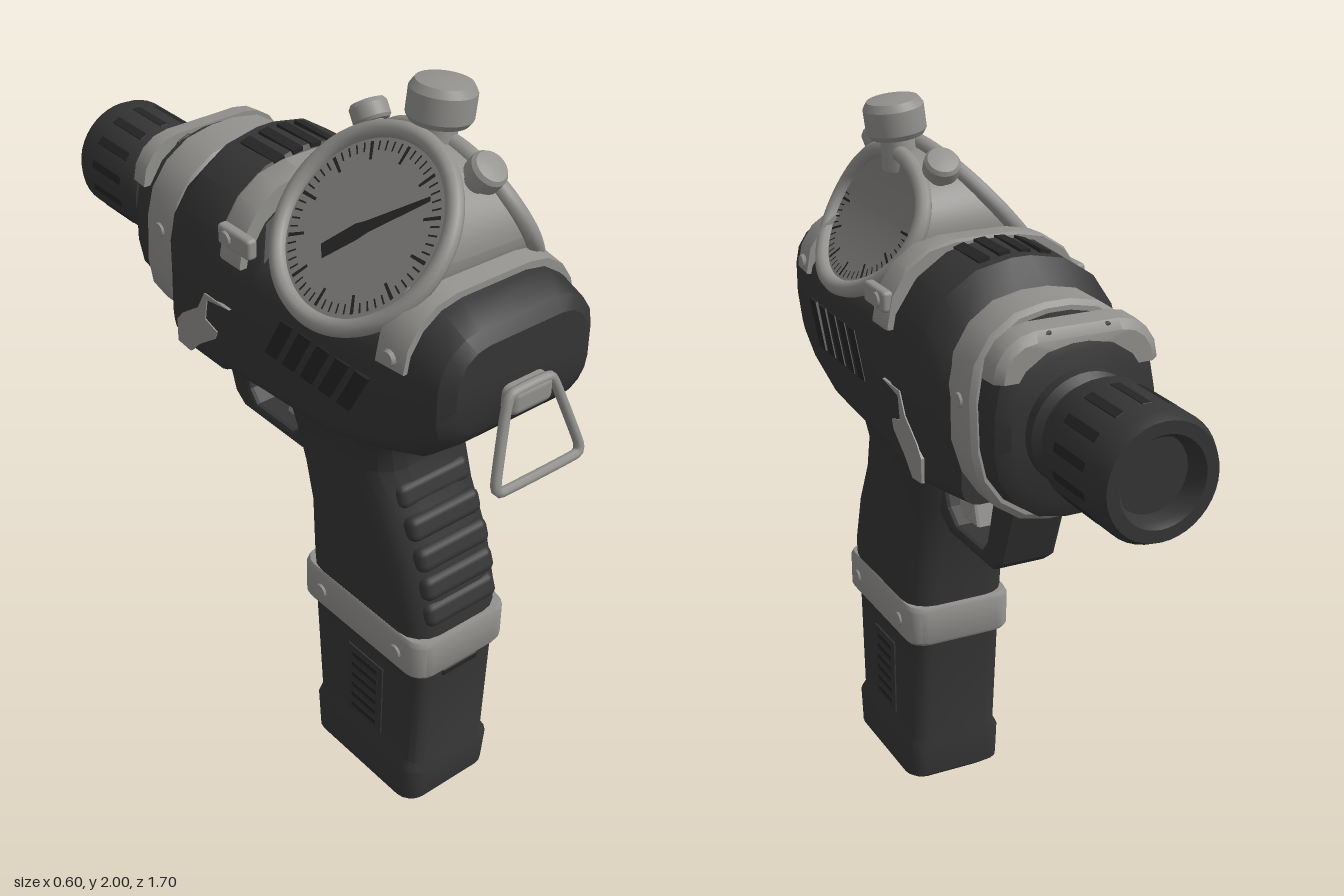
import * as THREE from 'three';
import { toCreasedNormals } from 'three/addons/utils/BufferGeometryUtils.js';
import { RoundedBoxGeometry } from 'three/addons/geometries/RoundedBoxGeometry.js';

const mat = (name, color, side = THREE.FrontSide) => {
  const m = new THREE.MeshStandardMaterial({ color, side });
  m.name = name;
  return m;
};

// Rounded rectangle outline, x in [-hw, hw], second axis in [a0, a1]
function ring(hw, a0, a1, rt, rb) {
  const lim = Math.min(hw, (a1 - a0) * 0.98 - Math.min(rt, rb)), pts = [];
  [[1, 1, rt], [-1, 1, rt], [-1, -1, rb], [1, -1, rb]].forEach(([sx, sy, r], k) => {
    r = Math.min(r, lim);
    for (let i = 0; i <= 4; i++) {
      const a = (k + i / 4) * Math.PI / 2;
      pts.push([sx * (hw - r) + r * Math.cos(a), (sy > 0 ? a1 - r : a0 + r) + r * Math.sin(a)]);
    }
  });
  return pts;
}

// Skin over sections [t, halfWidth, a0, a1, topRadius, bottomRadius]; t runs along z or y
function loft(sections, axis = 'z') {
  const pos = [], idx = [], n = 20, up = axis === 'y';
  const put = (x, a, t) => (up ? pos.push(x, t, a) : pos.push(x, a, t));
  const tri = (a, b, c) => (up ? idx.push(a, c, b) : idx.push(a, b, c));
  for (const [t, hw, a0, a1, rt, rb = rt] of sections) ring(hw, a0, a1, rt, rb).forEach(([x, a]) => put(x, a, t));
  const last = sections.length - 1;
  [0, last].forEach((s) => put(0, (sections[s][2] + sections[s][3]) / 2, sections[s][0]));
  const c0 = n * (last + 1);
  for (let i = 0; i < n; i++) {
    const k = (i + 1) % n;
    for (let j = 0; j < last; j++) {
      const a = j * n + i, b = j * n + k;
      tri(a, b, b + n);
      tri(a, b + n, a + n);
    }
    tri(c0, k, i);
    tri(c0 + 1, last * n + i, last * n + k);
  }
  const g = new THREE.BufferGeometry();
  g.setAttribute('position', new THREE.Float32BufferAttribute(pos, 3));
  g.setIndex(idx);
  return toCreasedNormals(g, 0.6);
}

// Side outline of [z, y] points extruded across x
function sidePlate(pts, width, x = 0, hole = null, bevel = 0) {
  const V = (p) => p.map(([z, y]) => new THREE.Vector2(z, y));
  const s = new THREE.Shape(V(pts));
  if (hole) s.holes.push(new THREE.Path(V(hole)));
  const g = new THREE.ExtrudeGeometry(s, { depth: width, bevelEnabled: bevel > 0, bevelSize: bevel, bevelThickness: bevel, bevelOffset: -bevel, bevelSegments: 2 });
  return g.translate(0, 0, -width / 2).rotateY(-Math.PI / 2).translate(x, 0, 0);
}

// Dial surfaces: unit disc (u, v) mapped to a flat right-hand face and a hollow left-hand face
const flatFace = (u, v, o = 0) => new THREE.Vector3(-0.135 + 0.155 * v - 0.77 * o, 1.69 + 0.18 * v + 0.63 * o, 0.365 + 0.245 * u);
const hollowFace = (u, v, o = 0) => {
  const y = 1.685 + 0.168 * v;
  return new THREE.Vector3(0.085 + 0.195 * Math.pow(Math.max(0, (1.865 - y) / 0.36), 1.7) + 0.8 * o, y + 0.5 * o, 0.365 - 0.25 * u);
};
function mapped(g, fn) {
  const p = g.attributes.position;
  for (let i = 0; i < p.count; i++) {
    const v = fn(p.getX(i), p.getY(i));
    p.setXYZ(i, v.x, v.y, v.z);
  }
  g.computeVertexNormals();
  return g;
}

export function createModel() {
  const root = new THREE.Group();
  const dark = mat('dark casing', 0x353535);
  const black = mat('recess black', 0x252525, THREE.DoubleSide);
  const light = mat('grey metal', 0x92918e, THREE.DoubleSide);
  const face = mat('dial grey', 0x807f7d, THREE.DoubleSide);
  const add = (name, g, m, parent = root) => {
    const mesh = new THREE.Mesh(g, m);
    mesh.name = name;
    parent.add(mesh);
    return mesh;
  };
  const box = (name, w, h, d, x, y, z, m, r = 0.01) => {
    const mesh = add(name, r ? new RoundedBoxGeometry(w, h, d, 2, r) : new THREE.BoxGeometry(w, h, d), m);
    mesh.position.set(x, y, z);
    return mesh;
  };

  // Main body, lower in the middle to seat the dials
  add('body', loft([
    [-0.3, 0.22, 1.13, 1.58, 0.18, 0.05], [-0.25, 0.25, 1.14, 1.62, 0.2, 0.05],
    [-0.18, 0.275, 1.15, 1.7, 0.25, 0.04], [-0.02, 0.275, 1.15, 1.705, 0.25, 0.04],
    [0.0, 0.27, 1.16, 1.68, 0.23, 0.04], [0.09, 0.27, 1.165, 1.67, 0.23, 0.04],
    [0.13, 0.27, 1.17, 1.555, 0.1, 0.04], [0.4, 0.268, 1.18, 1.55, 0.1, 0.05],
    [0.56, 0.262, 1.22, 1.56, 0.1, 0.06], [0.59, 0.258, 1.23, 1.645, 0.18, 0.06],
    [0.67, 0.25, 1.25, 1.625, 0.15, 0.08], [0.74, 0.235, 1.31, 1.595, 0.12, 0.08],
    [0.765, 0.2, 1.35, 1.565, 0.09, 0.08]]), dark);

  // Grip, band and battery
  add('grip', loft([
    [0.55, 0.145, 0.17, 0.625, 0.07], [0.66, 0.153, 0.165, 0.625, 0.08], [0.81, 0.153, 0.15, 0.59, 0.09],
    [0.94, 0.158, 0.115, 0.525, 0.1], [1.05, 0.17, 0.09, 0.475, 0.1], [1.14, 0.185, 0.08, 0.485, 0.09],
    [1.22, 0.215, 0.06, 0.54, 0.08], [1.28, 0.24, 0.04, 0.58, 0.08]], 'y'), dark);
  for (let i = 0; i < 5; i++) {
    const rib = box('gripRib', 0.23, 0.068, 0.06, 0, 0.68 + i * 0.075, 0.6 - i * 0.008 - i * i * 0.0055, dark, 0.022);
    rib.rotation.x = -0.35;
  }
  add('gripBand', loft([[0.495, 0.15, 0.16, 0.635, 0.05], [0.505, 0.156, 0.155, 0.64, 0.05],
    [0.6, 0.156, 0.155, 0.64, 0.05], [0.612, 0.15, 0.16, 0.635, 0.05]], 'y'), light);
  add('battery', loft([
    [0, 0.115, 0.25, 0.57, 0.04], [0.035, 0.145, 0.205, 0.615, 0.05], [0.14, 0.145, 0.195, 0.625, 0.05],
    [0.165, 0.132, 0.2, 0.615, 0.045], [0.5, 0.132, 0.17, 0.627, 0.045]], 'y'), dark);
  box('batteryLatch', 0.12, 0.02, 0.02, 0, 0.475, 0.62, black, 0.005);

  // Trigger guard and trigger
  add('triggerGuard', sidePlate(
    [[0.2, 1.22], [-0.27, 1.22], [-0.3, 1.12], [-0.225, 0.91], [-0.185, 0.88], [0.07, 0.88], [0.13, 0.91], [0.2, 1.0]], 0.14, 0,
    [[0.08, 1.15], [-0.13, 1.145], [-0.17, 1.13], [-0.19, 1.08], [-0.155, 0.95], [-0.125, 0.915], [0.03, 0.915], [0.08, 0.95], [0.1, 1.0], [0.105, 1.07]], 0.012), dark);
  add('trigger', sidePlate(
    [[0.085, 1.17], [-0.035, 1.17], [-0.03, 1.08], [-0.015, 1.0], [-0.035, 0.93], [0.05, 0.925], [0.075, 0.96], [0.07, 1.05]], 0.08, 0, null, 0.01), light);

  // Front collar (leaning slightly) and nose
  const collar = loft([[-0.392, 0.222, 1.12, 1.63, 0.19], [-0.38, 0.235, 1.105, 1.642, 0.2],
    [-0.27, 0.235, 1.105, 1.642, 0.2], [-0.258, 0.222, 1.12, 1.63, 0.19]]);
  const shear = new THREE.Matrix4().set(1, 0, 0, 0, 0, 1, 0, 0, 0, 0.07, 1, -0.096, 0, 0, 0, 1);
  add('collar', collar.applyMatrix4(shear), light);
  add('nose', loft([[-0.485, 0.18, 1.18, 1.56, 0.16], [-0.462, 0.213, 1.135, 1.61, 0.19], [-0.36, 0.22, 1.125, 1.62, 0.19]]), dark);
  add('noseWear', loft([[-0.478, 0.196, 1.5, 1.589, 0.171, 0.002], [-0.462, 0.216, 1.5, 1.613, 0.19, 0.002], [-0.41, 0.22, 1.5, 1.62, 0.19, 0.002]]), light);
  for (const s of [-1, 1]) {
    const notch = box('noseNotch', 0.05, 0.05, 0.066, s * 0.085, 1.582, -0.437, dark);
    notch.rotation.z = -s * 0.35;
  }

  // Barrel with slotted sleeve
  const profile = [[0.145, 0.42], [0.145, 0.515], [0.125, 0.53], [0.125, 0.565], [0.148, 0.57], [0.157, 0.59],
    [0.157, 0.825], [0.143, 0.853], [0.112, 0.853], [0.1, 0.835], [0.095, 0.8], [0, 0.8]];
  const lathe = new THREE.LatheGeometry(profile.map(([r, d]) => new THREE.Vector2(r, d)), 40);
  add('barrel', toCreasedNormals(lathe.rotateX(-Math.PI / 2), 0.5).translate(0, 1.37, 0), dark);
  for (let i = 0; i < 14; i++) {
    const a = (i + 0.5) / 14 * Math.PI * 2;
    const slot = box('sleeveSlot', 0.009, 0.026, 0.14, 0.1535 * Math.cos(a), 1.37 + 0.1535 * Math.sin(a), -0.705, black, 0.003);
    slot.rotation.z = a;
  }

  // Straps that hold the dial housing
  add('frontStrap', loft([[0.0, 0.275, 1.5, 1.7, 0.19, 0.002], [0.01, 0.279, 1.5, 1.706, 0.195, 0.002], [0.085, 0.279, 1.5, 1.7, 0.19, 0.002]]), light);
  add('rearStrap', loft([[0.57, 0.268, 1.49, 1.665, 0.17, 0.002], [0.655, 0.26, 1.49, 1.645, 0.15, 0.002]]), light);

  // Mirrored side details
  for (const s of [-1, 1]) {
    box('strapClip', 0.03, 0.055, 0.125, s * 0.27, 1.57, 0.065, light);
    for (let i = 0; i < 5; i++) {
      const z = 0.53 - i * 0.068;
      add('sideVent', sidePlate([[z + 0.02, 1.43], [z - 0.025, 1.43], [z - 0.09, 1.31], [z - 0.045, 1.31]], 0.009, s * 0.267), black);
    }
    add('sidePatch', sidePlate([[0.035, 1.365], [-0.07, 1.365], [-0.1, 1.31], [-0.17, 1.26], [-0.195, 1.23], [-0.195, 1.165],
      [-0.14, 1.16], [-0.1, 1.2], [-0.03, 1.25], [-0.02, 1.275], [-0.07, 1.29], [-0.06, 1.35]], 0.009, s * 0.274), light);
    add('batteryPanel', sidePlate([[0.48, 0.19], [0.48, 0.42], [0.34, 0.42], [0.34, 0.19]], 0.008, s * 0.132), dark);
    for (let i = 0; i < 6; i++) box('batterySlot', 0.008, 0.016, 0.1, s * 0.134, 0.215 + i * 0.036, 0.41, black, 0);
    for (const [x, y, z] of [[0.157, 0.55, 0.55], [0.157, 0.55, 0.25], [0.236, 1.42, -0.322], [0.286, 1.57, 0.04], [0.265, 1.515, 0.61]]) {
      const rivet = add('rivet', new THREE.CylinderGeometry(0.018, 0.022, 0.01, 12), light);
      rivet.position.set(s * x, y, z);
      rivet.rotation.z = -s * Math.PI / 2;
    }
  }
  // Slots following the curved top
  for (let i = 0; i < 4; i++) {
    const a = (i - 1.5) * 0.2;
    const slot = box('topVent', 0.03, 0.012, 0.14, 0.25 * Math.sin(a) + (i - 1.5) * 0.006, 1.453 + 0.25 * Math.cos(a), -0.08, black, 0);
    slot.rotation.z = -a;
  }

  // Dial housing: a ruled skin joining the two faces
  const dial = new THREE.Group();
  dial.name = 'twinDial';
  root.add(dial);
  add('dialHousing', mapped(new THREE.RingGeometry(1, 2, 64, 4), (x, y) => {
    const r = Math.hypot(x, y), u = x / r, v = y / r;
    return flatFace(u, v).lerp(hollowFace(-u, v), r - 1);
  }), light, dial);
  for (const [fn, label, from, to] of [[flatFace, 'flat', 0, 60], [hollowFace, 'hollow', 29, 61]]) {
    add(label + 'DialFace', mapped(new THREE.RingGeometry(0.001, 1, 64, 8), (u, v) => fn(u, v)), face, dial);
    const path = Array.from({ length: 48 }, (_, i) => fn(Math.cos(i * Math.PI / 24), Math.sin(i * Math.PI / 24)));
    add(label + 'DialRim', new THREE.TubeGeometry(new THREE.CatmullRomCurve3(path, true), 96, 0.022, 10, true), light, dial);
    for (let i = from; i < to; i++) {
      const major = i % 5 === 0, w = major ? 0.045 : 0.022;
      add('dialTick', mapped(new THREE.RingGeometry(major ? 0.68 : 0.77, 0.87, 1, 2, i * Math.PI / 30 - w / 2, w), (u, v) => fn(u, v, 0.005)), black, dial);
    }
  }
  // Pointer on the flat face
  const hand = new THREE.Shape([[-0.32, -0.34], [-0.22, -0.46], [0.04, -0.13], [0.1, -0.03], [0.56, 0.52], [0.53, 0.56], [0.02, 0.07], [-0.08, -0.01]].map(([u, v]) => new THREE.Vector2(u, v)));
  add('dialHand', mapped(new THREE.ShapeGeometry(hand), (u, v) => flatFace(u, v, 0.008)), black, dial);

  // Crown and side buttons
  const button = (name, r, h, stem, x, y, z, rx, rz) => {
    const b = new THREE.Group();
    b.name = name;
    b.position.set(x, y, z);
    b.rotation.set(rx, 0, rz);
    root.add(b);
    const pts = [[0, -h / 2], [r * 0.88, -h / 2], [r, -h * 0.35], [r, h * 0.3], [r * 0.85, h / 2], [r * 0.5, h * 0.56], [0, h * 0.58]];
    add('cap', toCreasedNormals(new THREE.LatheGeometry(pts.map((p) => new THREE.Vector2(...p)), 24), 0.5), light, b);
    add('stem', new THREE.CylinderGeometry(r * 0.55, r * 0.65, stem, 16), light, b).position.y = -h / 2 - stem / 2 + 0.005;
  };
  button('crown', 0.08, 0.095, 0.09, 0.083, 1.94, 0.37, 0, -0.13);
  button('rearButton', 0.047, 0.05, 0.08, 0.045, 1.85, 0.562, 0.65, -0.1);
  button('frontButton', 0.047, 0.05, 0.08, 0.045, 1.85, 0.168, -0.65, -0.1);

  // Lanyard loop at the rear
  box('loopLug', 0.13, 0.07, 0.06, 0, 1.405, 0.775, light, 0.02);
  const corners = [[0.06, 1.43, 0.79], [0.085, 1.38, 0.8], [0.13, 1.24, 0.832], [0.115, 1.215, 0.838]];
  const loop = [...corners, ...corners.map(([x, y, z]) => [-x, y, z]).reverse()].map((p) => new THREE.Vector3(...p));
  add('lanyardLoop', new THREE.TubeGeometry(new THREE.CatmullRomCurve3(loop, true, 'catmullrom', 0.2), 80, 0.013, 8, true), light);
  return root;
}
